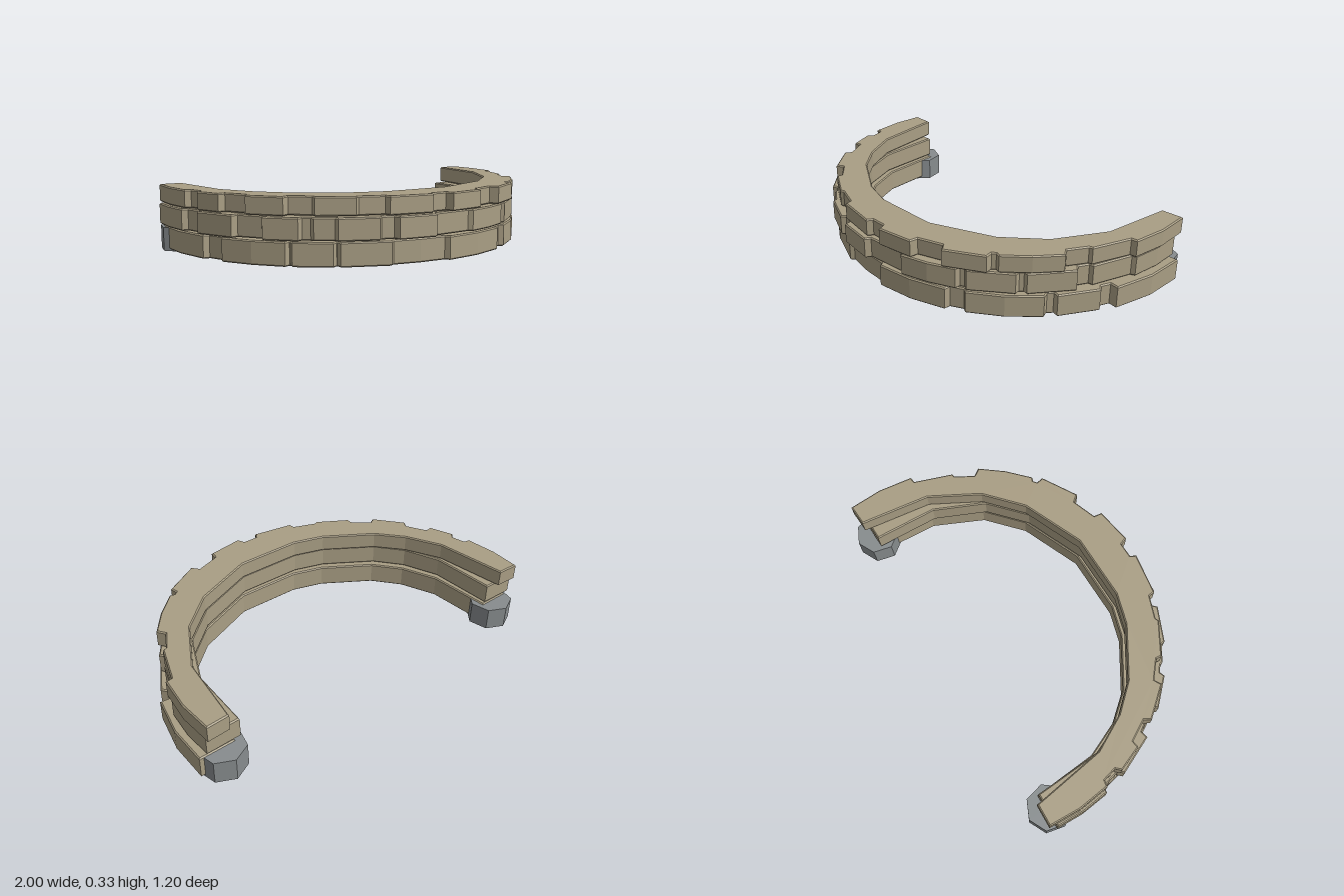
import * as THREE from 'three';

const stone = new THREE.MeshStandardMaterial({ color: 0xa99e84, flatShading: true });
stone.name = 'sandstone';
const rock = new THREE.MeshStandardMaterial({ color: 0x878c8e, flatShading: true });
rock.name = 'greyRock';

// Height range, end angle, inner radius at the ends, x and z shift of each course.
// joints: angle (degrees from the front, +x positive) where a stone starts, and its offset from the face
const courses = [
  {
    name: 'bottomCourse', y0: 0.01, y1: 0.126, end: 90, tip: 0.81, x: 0.002, z: 0,
    joints: [90, 0.015, 65.7, -0.03, 62, 0, 49.6, -0.03, 47, 0, 26.5, -0.025, 22, 0.005, 1, -0.02,
      -14.5, 0, -28, -0.025, -29, 0, -40, -0.025, -41, 0, -60, -0.03, -66, 0],
  },
  {
    name: 'middleCourse', y0: 0.133, y1: 0.241, end: 91, tip: 0.8, x: -0.018, z: 0.012,
    joints: [91, 0, 73.5, -0.02, 60.5, -0.04, 56.5, 0, 43, -0.02, 41, 0, 28, -0.025, 26, 0, 10, -0.02,
      -2, 0.01, -13, -0.025, -17, 0, -28, -0.015, -34, -0.025, -37, 0, -47, -0.035, -55, 0, -67.6, -0.03, -74, 0],
  },
  {
    name: 'topCourse', y0: 0.243, y1: 0.333, end: 92.5, tip: 0.86, x: -0.005, z: 0,
    joints: [92.5, 0, 71.7, -0.03, 59, -0.045, 52, 0, 35, -0.02, 33, 0.015, 21, -0.03, 13, 0.01, 2, -0.03,
      -3, 0, -15.5, -0.03, -23, -0.015, -34, -0.04, -41, 0, -52, -0.035, -59.5, 0, -68, -0.03, -73, 0],
  },
];
const innerAngles = [-67, -53.5, -42, -23, -12, 10.5, 33, 49, 68];

// Point on the wall plan; the arc is centred at z = -0.5
function planPoint(angle, radius, { x, z }) {
  const a = THREE.MathUtils.degToRad(angle);
  return new THREE.Vector2(x + radius * Math.sin(a), 0.5 - z - radius * Math.cos(a));
}
const cosDeg = (angle) => Math.cos(THREE.MathUtils.degToRad(angle));

// Bevelled slab with a stepped outer face and a faceted inner face
function makeCourse(course) {
  const { name, y0, y1, end, tip, joints } = course;
  const points = [];
  for (let i = 0; i < joints.length; i += 2) {
    const start = joints[i] - (i ? 0.5 : 0);
    const stop = i + 2 < joints.length ? joints[i + 2] + 0.3 : -end;
    const steps = start - stop > 14 ? 2 : 1;
    for (let k = 0; k <= steps; k++) {
      const angle = THREE.MathUtils.lerp(start, stop, k / steps);
      points.push(planPoint(angle, 0.98 + 0.1 * cosDeg(angle) + joints[i + 1], course));
    }
  }
  for (const angle of [-end, ...innerAngles, end]) {
    const rise = Math.min(1, 1.5 * Math.max(0, cosDeg(angle)));
    points.push(planPoint(angle, THREE.MathUtils.lerp(tip, 0.888, rise), course));
  }

  const bevel = 0.006;
  const geometry = new THREE.ExtrudeGeometry(new THREE.Shape(points), {
    depth: y1 - y0 - 2 * bevel, bevelThickness: bevel, bevelSize: bevel, bevelOffset: -bevel, bevelSegments: 1,
  });
  geometry.rotateX(-Math.PI / 2);
  const mesh = new THREE.Mesh(geometry, stone);
  mesh.name = name;
  mesh.position.y = y0 + bevel;
  return mesh;
}

export function createModel() {
  const model = new THREE.Group();
  model.name = 'curvedStoneWall';
  courses.forEach((course) => model.add(makeCourse(course)));

  // Seven-sided rocks under both wall ends
  for (const [name, x] of [['leftEndRock', 0.872], ['rightEndRock', -0.885]]) {
    const mesh = new THREE.Mesh(new THREE.CylinderGeometry(0.116, 0.116, 0.12, 7, 1, false, Math.PI), rock);
    mesh.name = name;
    mesh.position.set(x, 0.06, -0.482);
    model.add(mesh);
  }
  return model;
}
